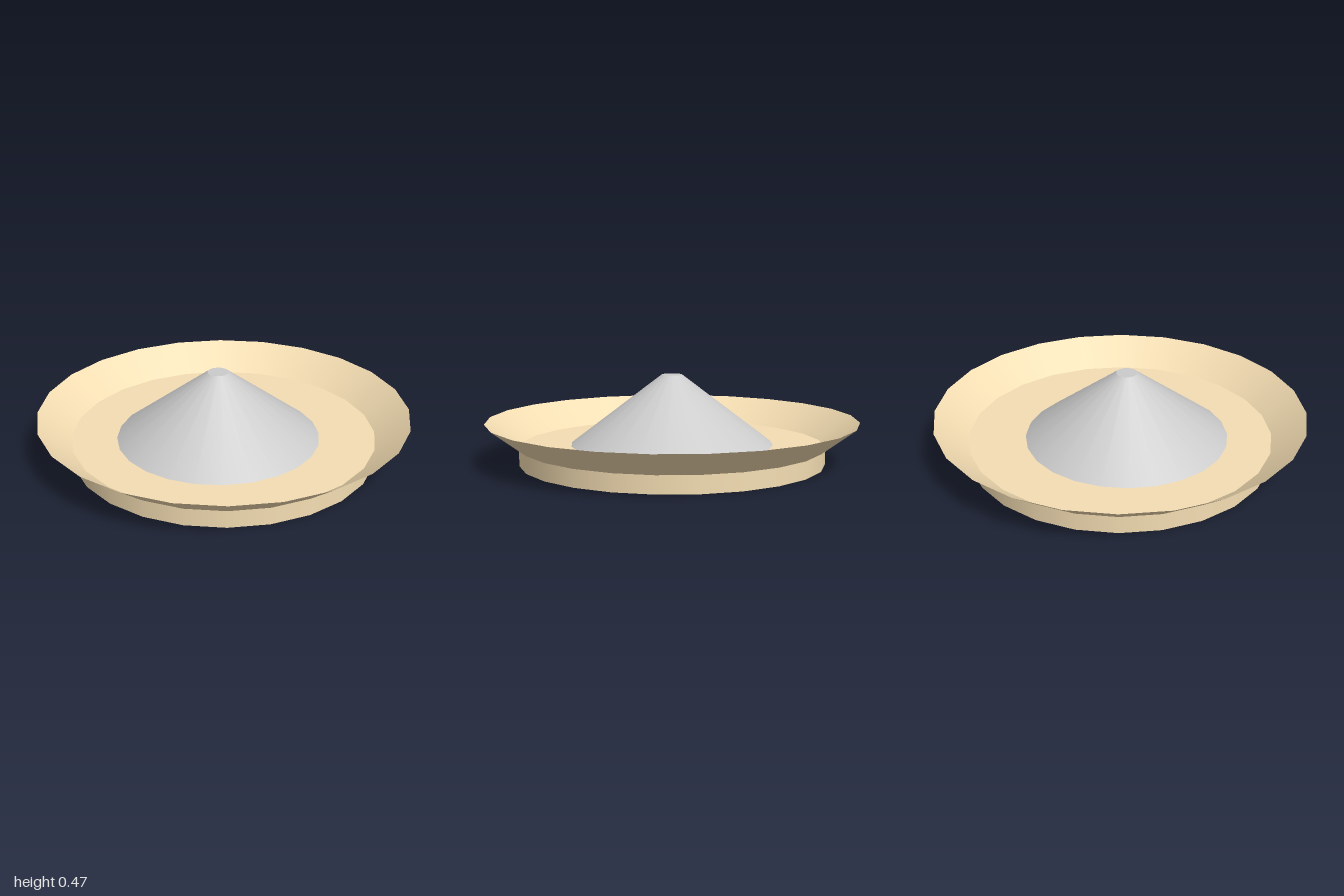
import * as THREE from 'three';

const SEGMENTS = 24;

// Round part with a straight or tapered side, standing between two heights
function roundPart(name, rTop, rBottom, y0, y1, color, open = false) {
  const geometry = new THREE.CylinderGeometry(rTop, rBottom, y1 - y0, SEGMENTS, 1, open);
  const material = new THREE.MeshStandardMaterial({ color });
  if (open) material.side = THREE.DoubleSide;
  const mesh = new THREE.Mesh(geometry, material);
  mesh.name = name;
  mesh.position.y = (y0 + y1) / 2;
  return mesh;
}

export function createModel() {
  const model = new THREE.Group();
  model.name = 'dishWithMound';

  // Shallow dish: solid disc base with a thin flared rim
  const dish = new THREE.Group();
  dish.name = 'dish';
  dish.add(
    roundPart('base', 0.82, 0.82, 0, 0.093, 0xf5deb3),
    roundPart('flaredRim', 1, 0.82, 0.093, 0.227, 0xf5deb3, true)
  );
  dish.rotation.y = 0.01;
  model.add(dish);

  // Blunt cone, slightly off centre on the dish floor
  const mound = roundPart('mound', 0.056, 0.55, 0.09, 0.468, 0xcccccc);
  mound.position.x = -0.022;
  mound.position.z = 0.03;
  mound.rotation.y = 0.036;
  model.add(mound);

  return model;
}
